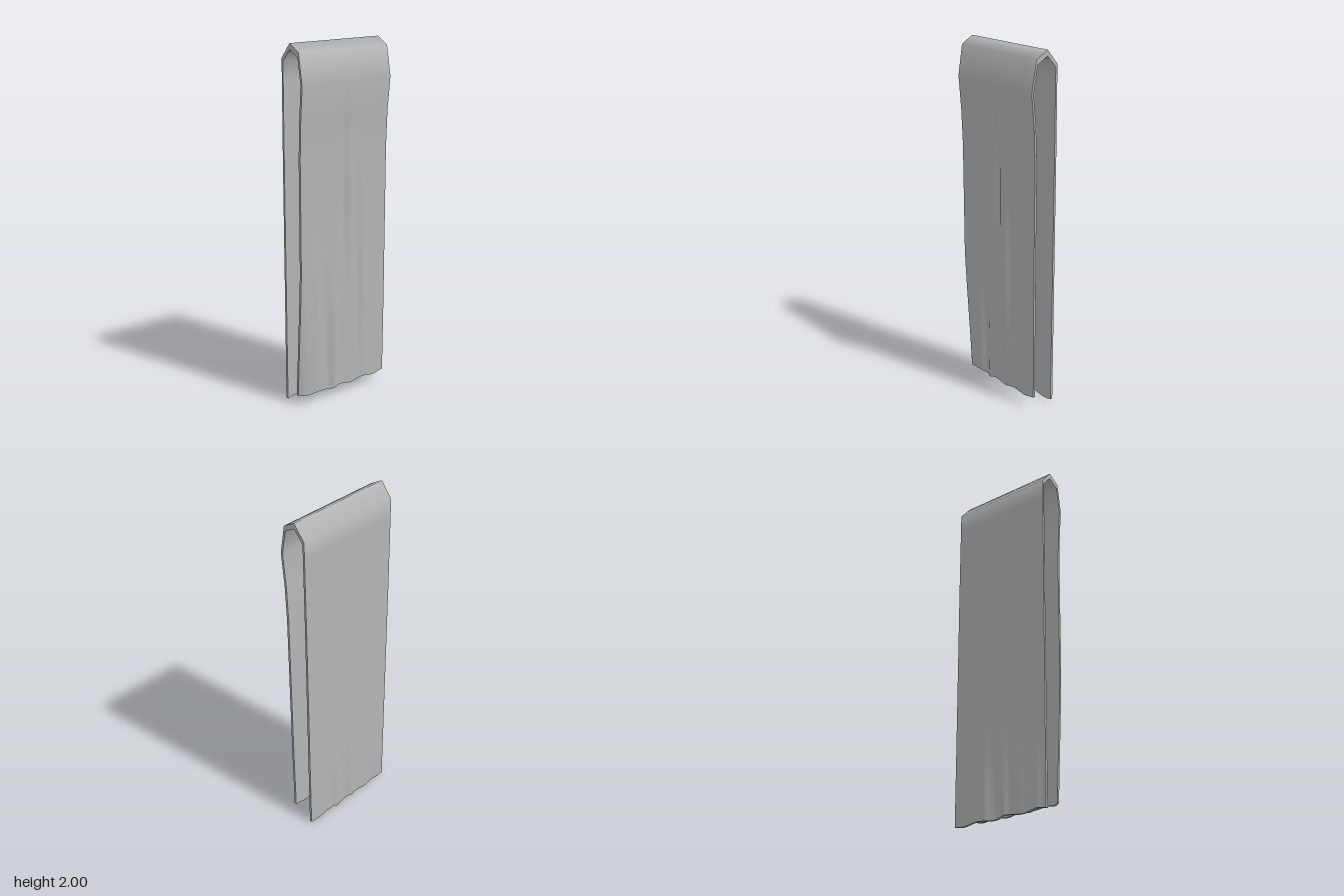
import * as THREE from 'three';

// Cross-section rows: [outer x, outer y, inner x, inner y], left hem, over the top, right hem
const KEYS = [
  [-0.085, 0.01, -0.071, 0.01], [-0.084, 0.6, -0.071, 0.6], [-0.083, 1.4, -0.071, 1.4],
  [-0.08, 1.92, -0.069, 1.905], [-0.012, 2.0, -0.012, 1.968], [0.06, 1.957, 0.052, 1.93],
  [0.087, 1.79, 0.074, 1.785], [0.072, 1.6, 0.059, 1.6], [0.064, 1.4, 0.051, 1.4],
  [0.063, 1.0, 0.05, 1.0], [0.062, 0.5, 0.049, 0.5], [0.058, 0.055, 0.045, 0.055],
];
const COLS = 48;

// Folds in the cloth: [z, width, centre y, half height, depth]
const RIGHT_FOLDS = [
  [0.0, 0.022, 1.2, 0.5, -0.013], [-0.04, 0.03, 0.9, 0.7, 0.008],
  [-0.1, 0.022, 0.75, 0.6, -0.012], [-0.15, 0.03, 0.5, 0.6, 0.006],
  [0.12, 0.025, 0.25, 0.5, -0.014], [0.07, 0.022, 0.2, 0.5, 0.01], [0.19, 0.03, 0.35, 0.6, 0.009],
];
const LEFT_FOLDS = [
  [-0.09, 0.02, 0, 0.5, -0.01], [0.035, 0.018, 0, 0.45, -0.009],
  [0.14, 0.018, 0, 0.4, -0.004], [0.25, 0.018, 0, 0.4, -0.007], [-0.02, 0.025, 0, 0.4, 0.007],
];

const foldOffset = (folds, y, z) => folds.reduce((sum, [fz, w, fy, h, d]) => {
  const t = Math.max(0, 1 - ((y - fy) / h) ** 2);
  return sum + d * t * Math.exp(-(((z - fz) / w) ** 2));
}, 0);

// Subdivide long straight runs so that the folds have rows to bend
function makeRows() {
  const rows = [];
  KEYS.forEach((a, k) => {
    const b = KEYS[k + 1];
    if (!b) return rows.push(a);
    const n = Math.max(1, Math.round(Math.abs(b[1] - a[1]) / 0.1));
    const steps = k >= 3 && k <= 6 ? 1 : n;
    for (let s = 0; s < steps; s++) rows.push(a.map((v, c) => v + (b[c] - v) * s / steps));
  });
  return rows;
}

// Point on the cloth with folds, curled front corner and uneven hem
function clothPoint(row, j, inner, rightSide) {
  let x = row[inner ? 2 : 0], y = row[inner ? 3 : 1];
  const low = Math.max(0, 1 - y / 2);
  const u = j / COLS - 0.5;
  const z = u * (0.616 - 0.014 * low) + 0.002;
  if (rightSide) {
    if (y < 1.7) x += foldOffset(RIGHT_FOLDS, y, z);
    const curl = Math.max(0, 1 - y / 0.75) * Math.max(0, (z - 0.22) / 0.08) ** 2;
    x -= 0.036 * curl;
    x += 0.006 * Math.max(0, 1 - Math.abs(y - 1.79) / 0.2) * Math.exp(-(((z + 0.28) / 0.04) ** 2));
    y += Math.max(0, 1 - y / 0.3) * (0.008 * Math.sin(z * 38 + 0.6) + 0.012 * Math.abs(u));
  } else {
    x += foldOffset(LEFT_FOLDS, y, z);
    y += Math.max(0, 1 - y / 0.3) * 0.006 * Math.sin(z * 32);
  }
  return [x, y, z];
}

// Smooth surface from a grid of points
function gridGeometry(grid, flip) {
  const n = grid[0].length, index = [];
  for (let i = 0; i < grid.length - 1; i++) {
    for (let j = 0; j < n - 1; j++) {
      const a = i * n + j, b = a + n, c = a + 1, d = b + 1;
      index.push(...(flip ? [a, c, b, b, c, d] : [a, b, c, b, d, c]));
    }
  }
  const g = new THREE.BufferGeometry();
  g.setAttribute('position', new THREE.Float32BufferAttribute(grid.flat(2), 3));
  g.setIndex(index);
  g.computeVertexNormals();
  return g;
}

export function createModel() {
  const group = new THREE.Group();
  group.name = 'drapedTowel';
  const cloth = new THREE.MeshStandardMaterial({ color: 0xb4b4b4, side: THREE.DoubleSide });
  cloth.name = 'grey cloth';
  const add = (name, grid, flip) => {
    const mesh = new THREE.Mesh(gridGeometry(grid, flip), cloth);
    mesh.name = name;
    group.add(mesh);
  };

  const rows = makeRows();
  const apex = rows.findIndex((r) => r[1] === 2);
  const sheet = (inner) => rows.map((r, i) =>
    Array.from({ length: COLS + 1 }, (_, j) => clothPoint(r, j, inner, i > apex)));
  const outer = sheet(false), inner = sheet(true);

  // Two faces of the cloth
  add('outerFace', outer, true);
  add('innerFace', inner, false);

  // Thin edges closing the cloth
  const last = rows.length - 1;
  add('frontEdge', [outer.map((r) => r[COLS]), inner.map((r) => r[COLS])], true);
  add('backEdge', [outer.map((r) => r[0]), inner.map((r) => r[0])], false);
  add('leftHem', [outer[0], inner[0]], false);
  add('rightHem', [outer[last], inner[last]], true);
  // Orient each edge strip outward
  const outward = { frontEdge: [0, 0, 1], backEdge: [0, 0, -1], leftHem: [0, -1, 0], rightHem: [0, -1, 0] };
  for (const [name, dir] of Object.entries(outward)) {
    const g = group.getObjectByName(name).geometry, nrm = g.attributes.normal;
    let dot = 0;
    for (let i = 0; i < nrm.count; i++) dot += nrm.getX(i) * dir[0] + nrm.getY(i) * dir[1] + nrm.getZ(i) * dir[2];
    if (dot < 0) {
      g.setIndex(Array.from(g.index.array).reverse());
      g.computeVertexNormals();
    }
  }
  return group;
}
